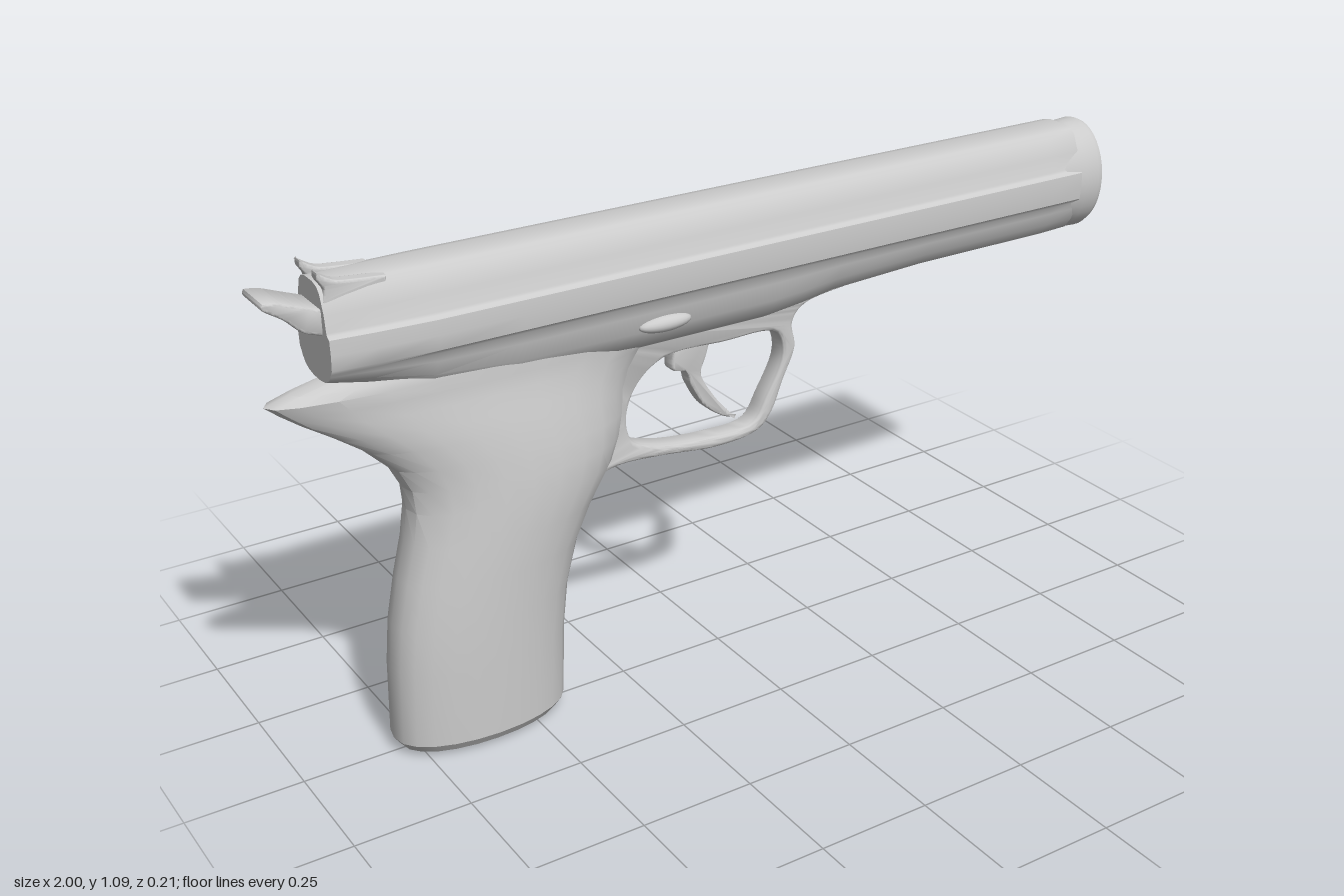
import * as THREE from 'three';
import { toCreasedNormals } from 'three/addons/utils/BufferGeometryUtils.js';

const smooth = new THREE.MeshStandardMaterial({ color: 0xcccccc });
const V = (pts) => pts.map(([x, y]) => new THREE.Vector2(x, y));

// Skin a series of closed rings and cap both ends
function loft(rings, crease) {
  const n = rings[0].length, pos = [], idx = [];
  rings.forEach((r) => r.forEach((p) => pos.push(...p)));
  for (let i = 0; i < rings.length - 1; i++) {
    for (let j = 0; j < n; j++) {
      const a = i * n + j, b = i * n + (j + 1) % n;
      idx.push(a, b, a + n, b, b + n, a + n);
    }
  }
  [0, rings.length - 1].forEach((ri) => {
    const c = pos.length / 3, o = ri * n;
    pos.push(...[0, 1, 2].map((k) => rings[ri].reduce((s, p) => s + p[k], 0) / n));
    for (let j = 0; j < n; j++) {
      const a = o + j, b = o + (j + 1) % n;
      if (ri === 0) idx.push(c, b, a); else idx.push(c, a, b);
    }
  });
  const g = new THREE.BufferGeometry();
  g.setAttribute('position', new THREE.Float32BufferAttribute(pos, 3));
  g.setIndex(idx);
  g.computeVertexNormals();
  return toCreasedNormals(g, crease);
}

// Side profile extruded evenly about z = 0 with rounded edges
function plate(shape, halfWidth, bevel) {
  const g = new THREE.ExtrudeGeometry(shape, {
    depth: 2 * (halfWidth - bevel), bevelThickness: bevel, bevelSize: bevel,
    bevelOffset: -bevel, bevelSegments: 4, curveSegments: 8,
  });
  g.translate(0, 0, -(halfWidth - bevel));
  return toCreasedNormals(g, 0.7);
}

export function createModel() {
  const model = new THREE.Group();
  const add = (name, geometry, x = 0, y = 0, z = 0) => {
    const m = new THREE.Mesh(geometry, smooth);
    m.name = name;
    m.position.set(x, y, z);
    model.add(m);
    return m;
  };

  // Long body: grooved oval section; stations hold x, underside y, width scale
  const stations = [
    [-0.89, 0.87, 0.82], [-0.8, 0.85, 0.92], [-0.68, 0.81, 1], [-0.5, 0.785, 1],
    [-0.2, 0.778, 1], [0.1, 0.778, 1], [0.18, 0.787, 1], [0.26, 0.802, 1],
    [0.5, 0.814, 1], [0.85, 0.815, 1], [0.925, 0.818, 1],
  ];
  add('body', loft(stations.map(([x, b, s]) => {
    const low = (f) => b + (0.9 - b) * f;
    const half = [
      [0.022, 1.068], [0.045, 1.063], [0.058, 1.052], [0.074, 1.015], [0.08, 0.981],
      [0.083, 0.976], [0.093, 0.971], [0.095, 0.94], [0.092, 0.909], [0.084, 0.9],
      [0.08, low(0.8)], [0.069, low(0.45)], [0.05, low(0.15)], [0.02, b],
    ];
    const back = [...half].reverse().map(([z, y]) => [-z, y]);
    return [...half, ...back].map(([z, y]) => [x, y, z * s]);
  }), 0.6));

  // Muzzle: oval collar with stepped face and a bore
  const muzzle = new THREE.LatheGeometry(V([
    [0.1, 0.84], [0.117, 0.9], [0.126, 0.94], [0.128, 0.975], [0.122, 0.989],
    [0.108, 0.995], [0.1, 0.995], [0.098, 0.989], [0.06, 0.992], [0.054, 0.988],
    [0.05, 0.96], [0, 0.935],
  ]), 40);
  muzzle.rotateZ(-Math.PI / 2);
  // Reversing the profile direction keeps faces outward
  const order = muzzle.index.array;
  for (let i = 0; i < order.length; i += 3) [order[i], order[i + 1]] = [order[i + 1], order[i]];
  const nrm = muzzle.attributes.normal;
  for (let i = 0; i < nrm.array.length; i++) nrm.array[i] *= -1;
  muzzle.scale(1, 1, 0.76);
  // Orientation is settled from the outer wall's winding
  const p = muzzle.attributes.position;
  const [A, B, C] = [0, 1, 2].map((k) => new THREE.Vector3().fromBufferAttribute(p, order[k]));
  const face = B.clone().sub(A).cross(C.clone().sub(A));
  if (face.y * A.y + face.z * A.z < 0) {
    for (let i = 0; i < order.length; i += 3) [order[i], order[i + 1]] = [order[i + 1], order[i]];
  }
  muzzle.computeVertexNormals();
  add('muzzle', toCreasedNormals(muzzle, 0.6), 0, 0.942, 0);

  // Grip: rows of height, back x, front x, half width; swept into a rear tail
  const rows = [
    [0.004, -0.74, -0.47, 0.06], [0.014, -0.785, -0.428, 0.09], [0.035, -0.8, -0.412, 0.104],
    [0.2, -0.795, -0.405, 0.107], [0.3, -0.785, -0.393, 0.107], [0.4, -0.765, -0.365, 0.107],
    [0.48, -0.745, -0.325, 0.107], [0.55, -0.735, -0.278, 0.105], [0.6, -0.74, -0.258, 0.101],
    [0.65, -0.765, -0.247, 0.095], [0.7, -0.815, -0.242, 0.087], [0.74, -0.87, -0.225, 0.079],
    [0.78, -0.93, -0.19, 0.07], [0.81, -0.97, -0.14, 0.066], [0.835, -1, -0.12, 0.066],
    [0.85, -0.95, -0.15, 0.064], [0.867, -0.87, -0.2, 0.06],
  ];
  add('grip', loft(rows.map(([y, back, front, w]) => Array.from({ length: 24 }, (_, j) => {
    const t = j / 24 * Math.PI * 2, c = Math.cos(t);
    const x = (back + front) / 2 + (front - back) / 2 * Math.sin(t);
    return [x, y, w * Math.sign(c) * Math.abs(c) ** 0.85];
  })), 0.5));

  // Trigger guard with its opening
  const guard = new THREE.Shape(V([[-0.42, 0.85], [-0.42, 0.5], [-0.36, 0.49]]));
  guard.splineThru(V([[-0.27, 0.523], [-0.16, 0.519], [-0.02, 0.503], [0.08, 0.512],
    [0.125, 0.55], [0.155, 0.62], [0.185, 0.69], [0.178, 0.75], [0.215, 0.787], [0.32, 0.803], [0.48, 0.815]]));
  guard.lineTo(0.48, 0.85);
  guard.holes.push(new THREE.Path(new THREE.CatmullRomCurve3(
    V([[-0.24, 0.63], [-0.228, 0.575], [-0.17, 0.548], [-0.02, 0.53], [0.075, 0.538],
      [0.11, 0.59], [0.152, 0.68], [0.135, 0.735], [0, 0.744], [-0.15, 0.742], [-0.215, 0.695]])
      .map((v) => new THREE.Vector3(v.x, v.y, 0)), true,
  ).getPoints(60).slice(0, -1).map((v) => new THREE.Vector2(v.x, v.y))));
  add('triggerGuard', plate(guard, 0.026, 0.01));

  // Hooked trigger
  const trigger = new THREE.Shape(V([[-0.115, 0.77], [-0.125, 0.73]]));
  trigger.splineThru(V([[-0.122, 0.705], [-0.09, 0.693], [-0.078, 0.66], [-0.045, 0.605], [0.005, 0.568], [0.036, 0.56]]));
  trigger.splineThru(V([[0.01, 0.585], [-0.025, 0.63], [-0.052, 0.68], [-0.04, 0.72], [-0.025, 0.77]]));
  add('trigger', plate(trigger, 0.018, 0.006));

  // Hammer spur at the rear
  const hammer = new THREE.Shape(V([[-0.84, 0.965], [-0.84, 1.03], [-0.89, 1.022]]));
  hammer.splineThru(V([[-0.93, 1.037], [-0.97, 1.052], [-0.998, 1.056]]));
  hammer.splineThru(V([[-0.998, 1.042], [-0.96, 1.015], [-0.925, 0.983], [-0.88, 0.967]]));
  add('hammer', plate(hammer, 0.048, 0.006));

  // Pair of upswept rear sight prongs
  const sight = new THREE.Shape(V([[-0.76, 1.05], [-0.76, 1.064]]));
  sight.splineThru(V([[-0.82, 1.069], [-0.86, 1.075], [-0.893, 1.094]]));
  sight.splineThru(V([[-0.893, 1.08], [-0.882, 1.06], [-0.888, 1.035]]));
  for (const side of [1, -1]) {
    add(side > 0 ? 'leftRearSight' : 'rightRearSight', plate(sight, 0.014, 0.005), 0, 0, side * 0.04);
  }

  // Oval catch on the left side
  const button = new THREE.SphereGeometry(1, 24, 12);
  button.scale(0.062, 0.018, 0.02);
  add('sideCatch', button, -0.175, 0.845, 0.072);

  return model;
}
